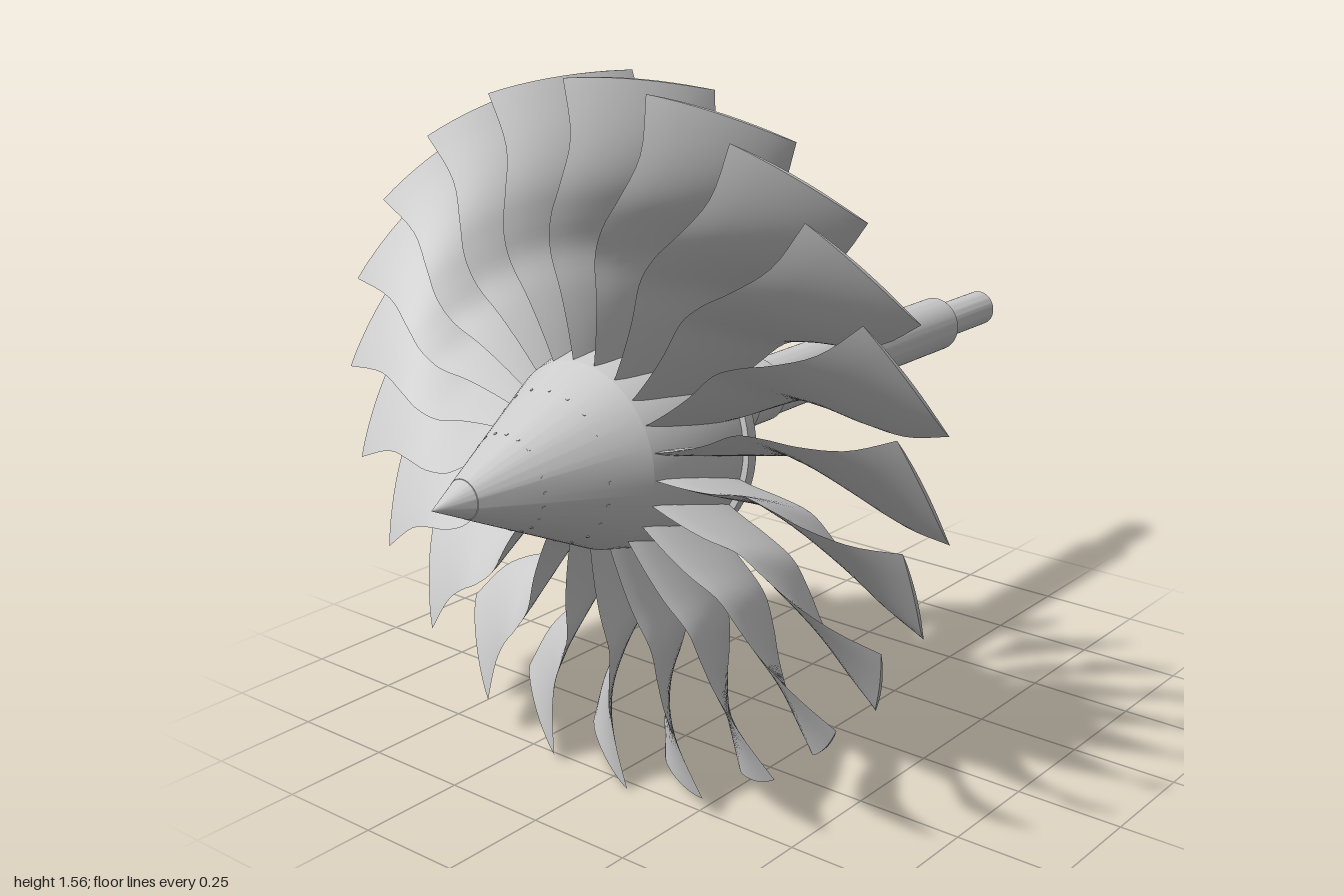
import * as THREE from 'three';
import { toCreasedNormals } from 'three/addons/utils/BufferGeometryUtils.js';

const AXIS_Y = 0.78, BLADES = 22;
const grey = new THREE.MeshStandardMaterial({ color: 0xcccccc });
const rad = THREE.MathUtils.degToRad;

// Solid of revolution about the x axis; profile is [x, radius] from -x to +x
function turned(name, profile) {
  const lathe = new THREE.LatheGeometry(profile.map(([x, r]) => new THREE.Vector2(r, x)), 64);
  lathe.rotateZ(-Math.PI / 2);
  const mesh = new THREE.Mesh(toCreasedNormals(lathe, rad(25)), grey);
  mesh.name = name;
  return mesh;
}

// Leading and trailing edges from root to tip: x, radius, angle in degrees
const edge = (pts) => new THREE.CatmullRomCurve3(pts.map((p) => new THREE.Vector3(...p)), false, 'catmullrom');
const leading = edge([
  [-0.575, 0.19, 21], [-0.578, 0.27, 22], [-0.58, 0.35, 23.5], [-0.58, 0.43, 25.5],
  [-0.58, 0.50, 24], [-0.565, 0.57, 21.5], [-0.54, 0.66, 20], [-0.53, 0.78, 21.3],
]);
const trailing = edge([
  [-0.345, 0.19, 8], [-0.34, 0.27, 9], [-0.335, 0.35, 10.5], [-0.335, 0.43, 11],
  [-0.335, 0.50, 7.5], [-0.335, 0.57, 3.8], [-0.338, 0.66, 1.6], [-0.36, 0.78, 2.3],
]);

// Twisted blade lofted through thin aerofoil sections, closed at the tip
function bladeGeometry() {
  const rows = 28, m = 10, n = 2 * m, pos = [], index = [];
  for (let j = 0; j <= rows; j++) {
    const t = j / rows, le = leading.getPoint(t), te = trailing.getPoint(t), r = le.y;
    const chord = new THREE.Vector2(te.x - le.x, r * rad(te.z - le.z)).normalize();
    const half = THREE.MathUtils.lerp(0.009, 0.004, t);
    for (let i = 0; i < n; i++) {
      const s = (i <= m ? i : n - i) / m;
      const offset = (i <= m ? 1 : -1) * half * Math.pow(Math.max(0, Math.sin(Math.PI * s)), 0.6);
      const x = THREE.MathUtils.lerp(le.x, te.x, s) - chord.y * offset;
      const a = rad(te.z + (le.z - te.z) * Math.pow(1 - s, 1.12)) + chord.x * offset / r;
      pos.push(x, r * Math.cos(a), -r * Math.sin(a));
    }
  }
  for (let j = 0; j < rows; j++) {
    for (let i = 0; i < n; i++) {
      const k = (i + 1) % n, a = j * n + i, b = a + n, c = j * n + k, d = c + n;
      index.push(a, b, c, c, b, d);
    }
  }
  for (let i = 0; i < m; i++) {
    const o = rows * n, u = o + i, l = o + (n - i) % n, l2 = o + n - i - 1;
    index.push(u, l, l2, u, l2, u + 1);
  }
  const geo = new THREE.BufferGeometry();
  geo.setAttribute('position', new THREE.Float32BufferAttribute(pos, 3));
  geo.setIndex(index);
  return toCreasedNormals(geo, rad(40));
}

// Flange plate with a ring of bolt holes
function boltPlate() {
  const shape = new THREE.Shape().absarc(0, 0, 0.22, 0, Math.PI * 2);
  for (let i = 0; i < 8; i++) {
    const a = i * Math.PI / 4;
    shape.holes.push(new THREE.Path().absarc(0.166 * Math.cos(a), 0.166 * Math.sin(a), 0.015, 0, Math.PI * 2, true));
  }
  const geo = new THREE.ExtrudeGeometry(shape, { depth: 0.025, bevelEnabled: false, curveSegments: 32 });
  geo.rotateY(Math.PI / 2).translate(-0.315, 0, 0);
  const mesh = new THREE.Mesh(toCreasedNormals(geo, rad(30)), grey);
  mesh.name = 'boltPlate';
  return mesh;
}

export function createModel() {
  const model = new THREE.Group();
  model.name = 'fanRotor';
  const rotor = new THREE.Group();
  rotor.name = 'rotor';
  rotor.position.y = AXIS_Y;
  model.add(rotor);

  // Spinner, hub and flange
  rotor.add(turned('noseTip', [[-1, 0], [-0.916, 0.041], [-0.916, 0]]));
  rotor.add(turned('noseCone', [[-0.915, 0], [-0.915, 0.042], [-0.58, 0.205], [-0.58, 0]]));
  rotor.add(turned('hub', [[-0.58, 0], [-0.58, 0.205], [-0.5, 0.225], [-0.42, 0.238], [-0.34, 0.245], [-0.34, 0]]));
  rotor.add(turned('rearDisc', [[-0.34, 0], [-0.34, 0.26], [-0.314, 0.26], [-0.314, 0]]));
  rotor.add(boltPlate());

  // Stepped shaft
  rotor.add(turned('shaft', [
    [-0.30, 0], [-0.30, 0.115], [-0.255, 0.112], [-0.255, 0.086], [-0.115, 0.086],
    [-0.115, 0.08], [-0.07, 0.08], [-0.07, 0.075], [0.03, 0.075], [0.03, 0.069],
    [0.78, 0.069], [0.78, 0.045], [0.995, 0.045], [1, 0.041], [1, 0],
  ]));

  // Fan blades
  const blade = bladeGeometry();
  const fan = new THREE.Group();
  fan.name = 'fanBlades';
  for (let i = 0; i < BLADES; i++) {
    const mesh = new THREE.Mesh(blade, grey);
    mesh.name = 'blade';
    mesh.rotation.x = i * Math.PI * 2 / BLADES;
    fan.add(mesh);
  }
  rotor.add(fan);

  // Two rings of tiny rivets, almost flush with the cone
  const rivet = new THREE.CylinderGeometry(0.004, 0.004, 0.006, 8);
  const rivets = new THREE.Group();
  rivets.name = 'coneRivets';
  const slope = Math.atan(0.163 / 0.335);
  for (const x of [-0.79, -0.665]) {
    const r = 0.042 + (x + 0.915) * 0.163 / 0.335;
    for (let i = 0; i < 20; i++) {
      const spoke = new THREE.Group();
      spoke.rotation.x = i * Math.PI / 10;
      const mesh = new THREE.Mesh(rivet, grey);
      mesh.name = 'rivet';
      mesh.position.set(x, r - 0.002, 0);
      mesh.rotation.z = slope;
      spoke.add(mesh);
      rivets.add(spoke);
    }
  }
  rotor.add(rivets);
  return model;
}
